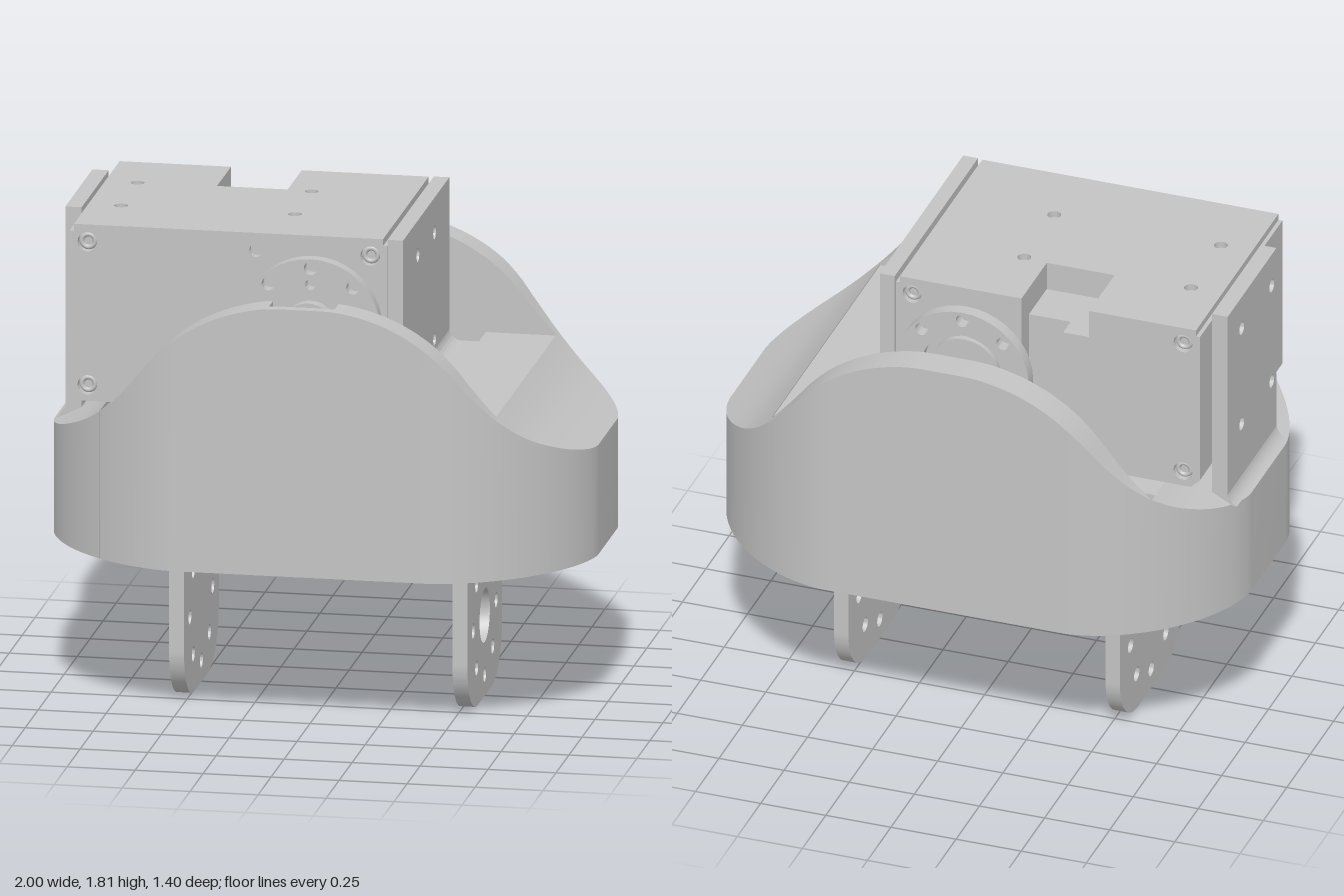
import * as THREE from 'three';
import { toCreasedNormals } from 'three/addons/utils/BufferGeometryUtils.js';

export function createModel() {
  const model = new THREE.Group();
  const grey = new THREE.MeshStandardMaterial({ color: 0xc4c4c4 });
  grey.name = 'plain grey';

  const add = (name, geometry) => {
    const mesh = new THREE.Mesh(geometry, grey);
    mesh.name = name;
    model.add(mesh);
    return mesh;
  };
  // Box given by its limits on each axis
  const box = (name, x0, x1, y0, y1, z0, z1) =>
    add(name, new THREE.BoxGeometry(x1 - x0, y1 - y0, z1 - z0)
      .translate((x0 + x1) / 2, (y0 + y1) / 2, (z0 + z1) / 2));
  // Round holes [x, y, radius] cut into a flat shape
  const drill = (shape, holes) => {
    for (const [x, y, r] of holes) shape.holes.push(new THREE.Path().absarc(x, y, r, 0, Math.PI * 2, true));
    return shape;
  };
  const shapeOf = (points, holes = []) =>
    drill(new THREE.Shape(points.map(p => new THREE.Vector2(...p))), holes);
  const rect = (a, b, c, d) => [[a, c], [b, c], [b, d], [a, d]];
  const extrude = (shape, depth) =>
    toCreasedNormals(new THREE.ExtrudeGeometry(shape, { depth, bevelEnabled: false, curveSegments: 20 }), 0.6);
  const slabZ = (name, shape, z0, z1) => add(name, extrude(shape, z1 - z0).translate(0, 0, z0));
  const slabX = (name, shape, x0, x1) => add(name, extrude(shape, x1 - x0).rotateY(-Math.PI / 2).translate(x1, 0, 0));
  const slabY = (name, shape, y0, y1) => add(name, extrude(shape, y1 - y0).rotateX(Math.PI / 2).translate(0, y1, 0));
  const ringHoles = (cx, cy, R, r) => Array.from({ length: 8 }, (_, i) =>
    [cx + R * Math.cos(i * Math.PI / 4), cy + R * Math.sin(i * Math.PI / 4), r]);

  // ---- Shell: outline in plan and height profile along x
  const bend = 1.7;
  const halfWidth = x => {
    const u = Math.min(1, Math.max(0, (Math.abs(x) - 0.46) / 0.54));
    return 0.18 + 0.52 * Math.pow(1 - Math.pow(u, bend), 1 / bend);
  };
  const profile = new THREE.SplineCurve([[0, 1.6], [0.13, 1.597], [0.25, 1.572], [0.36, 1.528], [0.46, 1.465],
    [0.54, 1.39], [0.61, 1.305], [0.7, 1.205], [0.8, 1.12], [0.9, 1.06], [1, 1.01]]
    .map(p => new THREE.Vector2(...p))).getPoints(100);
  const height = x => {
    const a = Math.abs(x);
    const i = Math.max(1, profile.findIndex(p => p.x >= a - 1e-9));
    const p = profile[i - 1], q = profile[i];
    return THREE.MathUtils.lerp(p.y, q.y, (a - p.x) / (q.x - p.x));
  };
  // Solid with a four-sided section that changes along x
  const loft = (name, xs, z0, z1, y0, y1) => {
    const pos = [], index = [];
    const quad = (a, b, c, d) => index.push(a, b, c, a, c, d);
    xs.forEach((x, i) => {
      pos.push(x, y0(x), z0(x), x, y0(x), z1(x), x, y1(x), z1(x), x, y1(x), z0(x));
      if (i) for (let k = 0; k < 4; k++) {
        const a = (i - 1) * 4 + k, b = (i - 1) * 4 + (k + 1) % 4;
        quad(a, a + 4, b + 4, b);
      }
    });
    const e = (xs.length - 1) * 4;
    quad(0, 1, 2, 3);
    quad(e + 3, e + 2, e + 1, e);
    const g = new THREE.BufferGeometry();
    g.setAttribute('position', new THREE.Float32BufferAttribute(pos, 3));
    g.setIndex(index);
    return add(name, toCreasedNormals(g, 0.5));
  };
  const range = (a, b, n) => Array.from({ length: n + 1 }, (_, i) => a + (b - a) * i / n);
  const bottom = () => 0.6;
  const endXs = from => {
    const t0 = Math.asin((from - 0.46) / 0.54);
    return range(t0, Math.PI / 2, 26).map(t => 0.46 + 0.54 * Math.sin(t));
  };
  loft('shellLeftEnd', endXs(0.7), x => -halfWidth(x), halfWidth, bottom, height);
  loft('shellRightEnd', endXs(0.76).reverse().map(x => -x), x => -halfWidth(x), halfWidth, bottom, height);
  loft('shellBackWall', range(-0.76, 0.7, 60), x => -halfWidth(x), () => -0.58, bottom, height);
  // Front wall with a pocket for the shaft
  loft('shellFrontWall', range(-0.76, -0.12, 28), () => 0.58, halfWidth, bottom, height);
  loft('shellFrontWall', range(0.12, 0.7, 26), () => 0.58, halfWidth, bottom, height);
  loft('shellFrontPocketWall', range(-0.12, 0.12, 10), () => 0.66, halfWidth, bottom, height);
  box('shellPocketBase', -0.12, 0.12, 0.6, 1.36, 0.58, 0.66);
  box('shellLedge', 0.44, 0.7, 0.6, 1.2, -0.58, 0.58);

  // ---- Inner frame that carries the legs
  box('frameLeftBlock', 0.27, 0.44, 0.95, 1.2, -0.45, 0.45);
  box('frameBridge', -0.43, 0.27, 0.95, 1.1, -0.35, 0.35);
  box('frameRightBlock', -0.76, -0.43, 0.95, 1.1, -0.45, 0.45);
  box('frameFrontWall', -0.76, 0.44, 0.61, 1.1, 0.445, 0.46);
  box('frameBackWall', -0.76, 0.44, 0.61, 1.1, -0.46, -0.445);
  add('frameBend', new THREE.CylinderGeometry(0.07, 0.07, 0.84, 24).rotateX(Math.PI / 2).translate(-0.5, 0.73, 0));
  box('frameWeb', -0.57, -0.5, 0.73, 0.96, -0.42, 0.42);

  // ---- Legs: plates with rounded lower corners and a ring of holes
  for (const side of [1, -1]) {
    const leg = drill(new THREE.Shape(), ringHoles(0, 0.3, 0.22, 0.028));
    if (side > 0) drill(leg, [[0, 0.3, 0.1]]);
    leg.moveTo(-0.335, 0.95).lineTo(-0.335, 0.2)
      .absarc(-0.135, 0.2, 0.2, Math.PI, Math.PI * 1.5, false)
      .absarc(0.135, 0.2, 0.2, Math.PI * 1.5, Math.PI * 2, false)
      .lineTo(0.335, 0.95);
    slabX(side > 0 ? 'leftLeg' : 'rightLeg', leg, side > 0 ? 0.492 : -0.55, side > 0 ? 0.547 : -0.495);
  }

  // ---- Mounting plates either side of the motor
  const mountHoles = [-0.16, 0.16].flatMap(z => [1.28, 1.68].map(y => [z, y, 0.026]));
  slabX('leftMountPlate', shapeOf(rect(-0.445, 0.445, 1.19, 1.81), mountHoles), 0.275, 0.332);
  slabX('rightMountPlate', shapeOf(rect(-0.31, 0.21, 1.0, 1.81), mountHoles), -0.955, -0.895);
  const fillet = new THREE.Shape();
  fillet.moveTo(0.33, 1.2).lineTo(0.39, 1.2).quadraticCurveTo(0.33, 1.2, 0.33, 1.26);
  slabZ('leftPlateFillet', fillet, -0.445, 0.445);
  const foot = new THREE.Shape();
  foot.moveTo(-0.95, 1.02).lineTo(-0.99, 1.02).quadraticCurveTo(-0.95, 1.04, -0.95, 1.1);
  slabZ('rightPlateFillet', foot, -0.31, 0.21);

  // ---- Motor body, with chamfered lower corners and a cable notch at the back
  const L = -0.895, R = 0.272, B = 1.15, T = 1.785, c = 0.035;
  const outline = [[L + c, B], [R - c, B], [R, B + c], [R, T], [L, T], [L, B + c]];
  const screws = [[-0.83, 1.745], [-0.83, 1.21], [0.21, 1.745], [0.21, 1.21]];
  const recess = screws.map(([x, y]) => [x, y, 0.036]);
  slabZ('motorBody', shapeOf(outline), -0.17, 0.41);
  slabZ('motorFrontCover', shapeOf(outline, [...recess, [-0.21, 1.745, 0.025]]), 0.41, 0.44);
  const backRight = [[L + c, B], [-0.47, B], [-0.47, T], [L, T], [L, B + c]];
  const backLeft = [[-0.21, B], [R - c, B], [R, B + c], [R, T], [-0.21, T]];
  slabZ('motorBackRight', shapeOf(backRight), -0.41, -0.17);
  slabZ('motorBackRightCover', shapeOf(backRight, recess.slice(0, 2)), -0.44, -0.41);
  slabZ('motorBackLeft', shapeOf(backLeft), -0.41, -0.17);
  slabZ('motorBackLeftCover', shapeOf(backLeft, recess.slice(2)), -0.44, -0.41);
  box('motorNotchFloor', -0.47, -0.21, B, 1.7, -0.36, -0.17);
  box('motorNotchSide', -0.47, -0.37, B, 1.7, -0.44, -0.36);
  // Top cover with screw holes
  const topHoles = [-0.76, -0.12].flatMap(x => [-0.16, 0.16].map(z => [x, z, 0.025]));
  slabY('motorTopCover', shapeOf([[L + 0.015, -0.44], [-0.47, -0.44], [-0.47, -0.17], [-0.21, -0.17],
    [-0.21, -0.44], [R - 0.015, -0.44], [R - 0.015, 0.44], [L + 0.015, 0.44]], topHoles), T, 1.81);
  // Socket screws sunk in the covers
  for (const [x, y] of screws) for (const s of [1, -1]) {
    add('screw', new THREE.TorusGeometry(0.024, 0.009, 8, 20).translate(x, y, s * 0.42));
  }

  // ---- Output disc, hub and shaft in front; bearing ring behind
  const disc = (name, holes, z0, z1, r) => {
    const s = drill(new THREE.Shape(), holes);
    s.absarc(0, 1.48, r, 0, Math.PI * 2, false);
    slabZ(name, s, z0, z1);
  };
  const discHoles = ringHoles(0, 1.48, 0.22, 0.025);
  disc('frontDisc', [...discHoles, [0, 1.64, 0.02]], 0.44, 0.488, 0.255);
  disc('frontHub', [], 0.488, 0.53, 0.1);
  disc('frontShaft', [], 0.53, 0.6, 0.055);
  disc('backDisc', [...discHoles, [0, 1.48, 0.16]], -0.488, -0.44, 0.255);
  disc('backBearing', [[0, 1.48, 0.08]], -0.465, -0.44, 0.13);

  return model;
}
